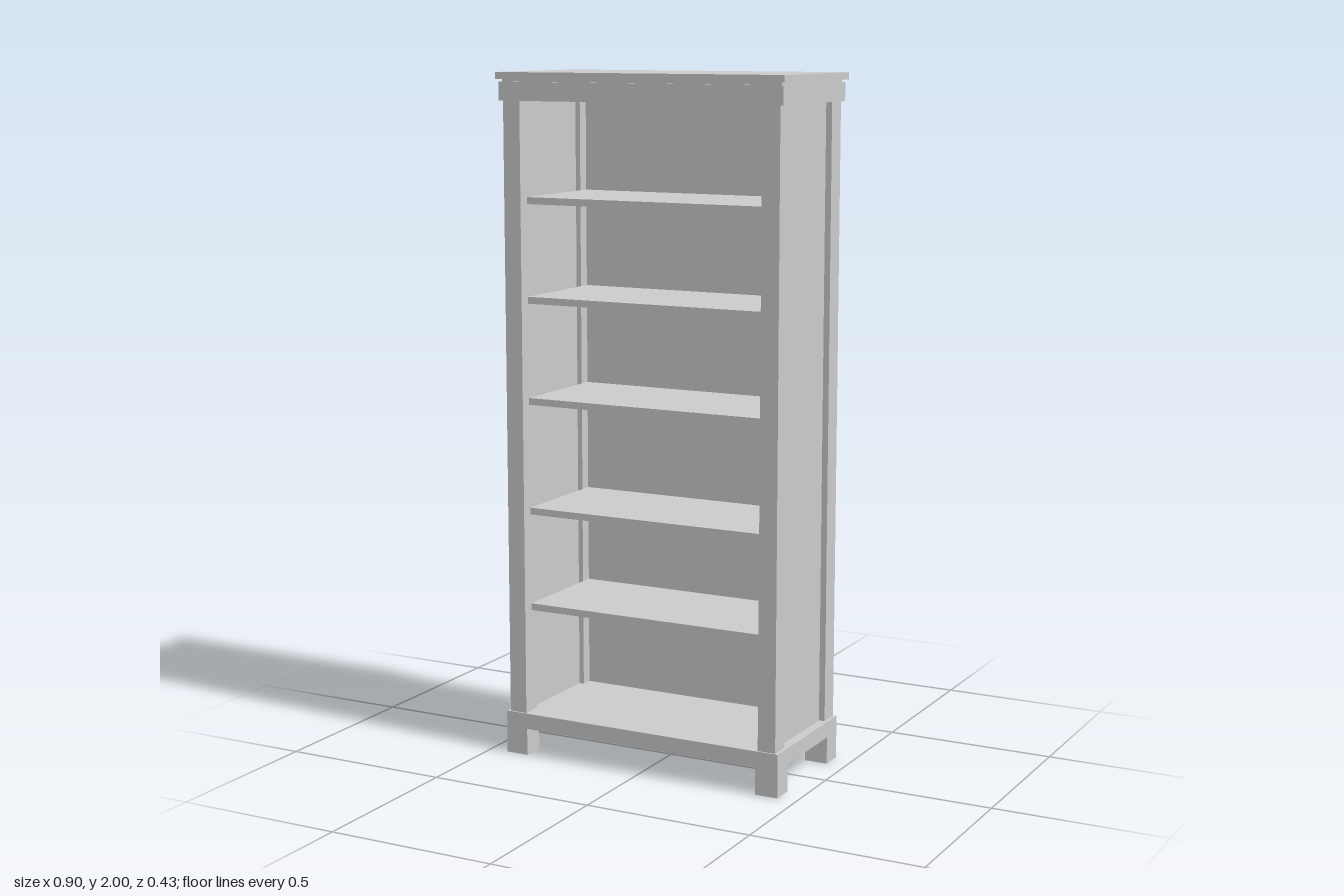
import * as THREE from 'three';

export function createModel() {
  const model = new THREE.Group();
  model.name = 'bookcase';
  const material = new THREE.MeshStandardMaterial({ color: 0xcccccc, flatShading: true });

  // Box given by its low and high limit on each axis
  function box(name, [x0, x1], [y0, y1], [z0, z1]) {
    const mesh = new THREE.Mesh(new THREE.BoxGeometry(x1 - x0, y1 - y0, z1 - z0), material);
    mesh.position.set((x0 + x1) / 2, (y0 + y1) / 2, (z0 + z1) / 2);
    mesh.name = name;
    model.add(mesh);
  }
  // Same box on both sides, given by its limits on the +x side
  function pair(name, [x0, x1], y, z) {
    box('left' + name, [x0, x1], y, z);
    box('right' + name, [-x1, -x0], y, z);
  }

  const floorY = 0.127, ceilingY = 1.92;

  // Plinth on four block feet
  box('plinth', [-0.443, 0.443], [0.08, floorY], [-0.203, 0.205]);
  pair('FrontFoot', [0.374, 0.443], [0, 0.08], [0.137, 0.205]);
  pair('BackFoot', [0.374, 0.443], [0, 0.08], [-0.203, -0.135]);

  // Corner posts with recessed panels between them
  pair('FrontPost', [0.379, 0.433], [floorY, ceilingY], [0.143, 0.2]);
  pair('BackPost', [0.379, 0.433], [floorY, ceilingY], [-0.2, -0.139]);
  pair('SidePanel', [0.394, 0.415], [floorY, ceilingY], [-0.139, 0.143]);
  box('backPanel', [-0.379, 0.379], [floorY, ceilingY], [-0.189, -0.174]);

  // Shelves
  for (const y of [0.443, 0.731, 1.056, 1.351, 1.637]) {
    box('shelf', [-0.379, 0.379], [y - 0.01, y + 0.01], [-0.174, 0.165]);
  }

  // Frieze, shadow gap and overhanging top
  box('frieze', [-0.444, 0.444], [ceilingY, 1.973], [-0.204, 0.206]);
  box('shadowGap', [-0.436, 0.436], [1.973, 1.98], [-0.198, 0.198]);
  box('top', [-0.45, 0.45], [1.98, 2], [-0.214, 0.213]);

  return model;
}
